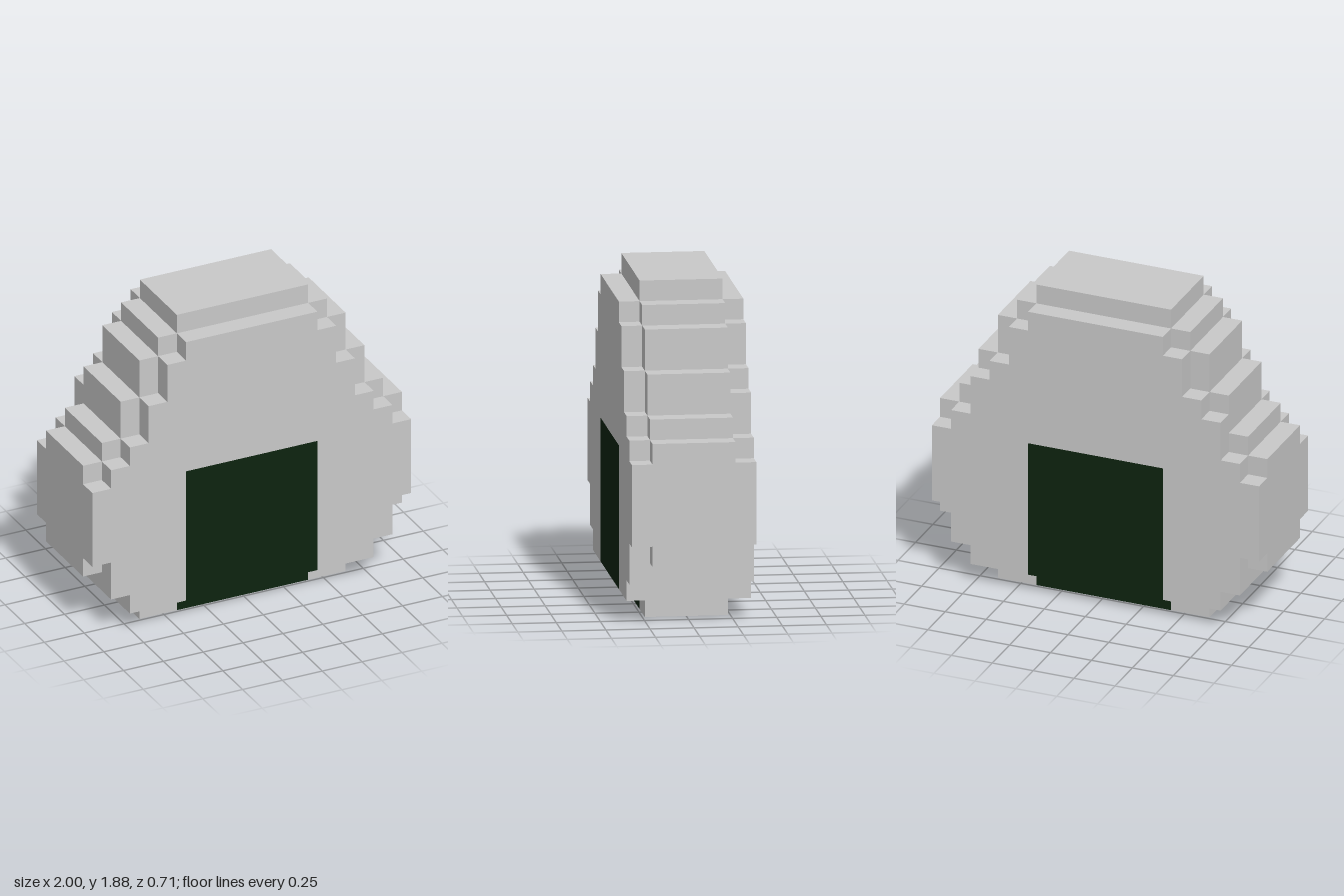
import * as THREE from 'three';

const U = 2 / 17; // edge of one block

// Half-widths in blocks, one per row from the bottom up
const CORE = [5.5, 6.5, 7.5, 8.5, 8.5, 8.5, 8.5, 8.5, 8.5, 7.5, 6.5, 6.5, 5.5, 5.5, 4.5, 3.5];
const FRONT = [6.5, 7.5, 7.5, 8.5, 8.5, 8.5, 8.5, 7.5, 6.5, 5.5, 5.5, 4.5, 4.5, 3.5];
const BACK = [6.5, 7.5, 7.5, 8.5, 8.5, 8.5, 8.5, 7.5, 6.5, 6.5, 5.5, 4.5, 4.5, 3.5];
const WRAP = 3.5; // half-width of the seaweed in blocks

// Stepped, mirrored outline with a notch at the bottom for the seaweed
function steppedSlab(rows, firstRow, notchRows, z0, depth) {
  const right = [[WRAP, firstRow + notchRows], [WRAP, firstRow]];
  rows.forEach((w, i) => {
    if (w === rows[i - 1]) right.pop();
    else right.push([w, firstRow + i]);
    right.push([w, firstRow + i + 1]);
  });
  const left = right.map(([x, y]) => [-x, y]).reverse();
  const shape = new THREE.Shape([...right, ...left].map(([x, y]) => new THREE.Vector2(x * U, y * U)));
  const geometry = new THREE.ExtrudeGeometry(shape, { depth: depth * U, bevelEnabled: false });
  return geometry.translate(0, 0, z0 * U);
}

function block(w, h, d, y, z) {
  return new THREE.BoxGeometry(w * U, h * U, d * U).translate(0, y * U, z * U);
}

export function createModel() {
  const group = new THREE.Group();
  const rice = new THREE.MeshStandardMaterial({ name: 'rice', color: 0xc9c9c9 });
  const seaweed = new THREE.MeshStandardMaterial({ name: 'seaweed', color: 0x0d230f });

  const add = (name, geometry, material) => {
    const mesh = new THREE.Mesh(geometry, material);
    mesh.name = name;
    group.add(mesh);
  };

  // Rice ball: thick core with a smaller layer on each face
  add('riceCore', steppedSlab(CORE, 0, 1, -2, 4), rice);
  add('riceFront', steppedSlab(FRONT, 1, 7, 2, 1), rice);
  add('riceBack', steppedSlab(BACK, 1, 7, -3, 1), rice);

  // Seaweed wrap: front, underside and back
  add('seaweedFront', block(2 * WRAP, 7, 1, 4.5, 2.5), seaweed);
  add('seaweedBottom', block(2 * WRAP, 1, 4, 0.5, 0), seaweed);
  add('seaweedBack', block(2 * WRAP, 7, 1, 4.5, -2.5), seaweed);

  return group;
}
